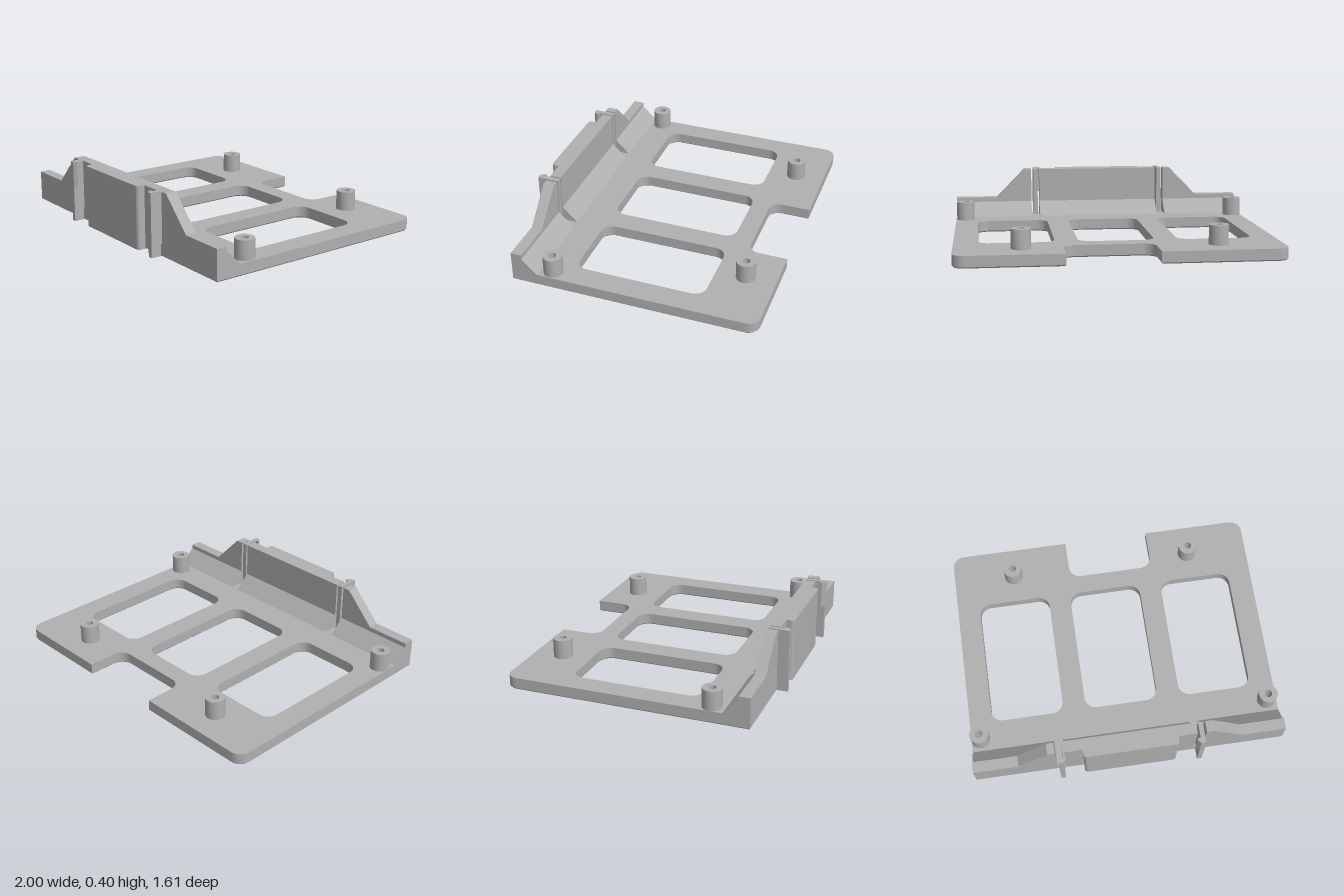
import * as THREE from 'three';
import { toCreasedNormals } from 'three/addons/utils/BufferGeometryUtils.js';

const PLATE_TOP = 0.075, BOSS_TOP = 0.197, WALL_TOP = 0.395;
const WALL_BACK = 0.67, WALL_FRONT = 0.74;
const SLOT_IN = 0.416, SLOT_OUT = 0.473;
const BOSSES = [[-0.6, -0.615], [0.595, -0.615], [-0.94, 0.495], [0.935, 0.495]];

// Closed outline from [x, y, cornerRadius] points, each corner rounded by its radius
function outline(points, Type = THREE.Shape) {
  const path = new Type();
  const v = points.map(([x, y]) => new THREE.Vector2(x, y));
  points.forEach(([, , r = 0], i) => {
    const p = v[i], n = v.length;
    const toward = (q) => q.clone().sub(p).setLength(r).add(p);
    const a = r ? toward(v[(i + n - 1) % n]) : p;
    if (i === 0) path.moveTo(a.x, a.y);
    else path.lineTo(a.x, a.y);
    if (r) {
      const b = toward(v[(i + 1) % n]), k = 0.5523;
      const c1 = a.clone().lerp(p, k), c2 = b.clone().lerp(p, k);
      path.bezierCurveTo(c1.x, c1.y, c2.x, c2.y, b.x, b.y);
    }
  });
  path.closePath();
  return path;
}

// Plan outlines are given as [x, z, radius]
const plan = (points, Type) => outline(points.map(([x, z, r]) => [x, -z, r]), Type);

const circle = (x, z, r, Type) => new Type().absarc(x, -z, r, 0, Math.PI * 2, false);

// Extrude a plan outline upward from y0 to y1
function raise(shape, y0, y1, bevel = 0) {
  const g = new THREE.ExtrudeGeometry(shape, {
    depth: y1 - y0 - 2 * bevel, curveSegments: 12, bevelEnabled: bevel > 0,
    bevelThickness: bevel, bevelSize: bevel, bevelOffset: -bevel, bevelSegments: 1,
  });
  g.rotateX(-Math.PI / 2).translate(0, y0 + bevel, 0);
  return toCreasedNormals(g, 0.6);
}

export function createModel() {
  const model = new THREE.Group();
  model.name = 'mountingBracket';
  const grey = new THREE.MeshStandardMaterial({ color: 0xb0b0b0 });
  grey.name = 'grey plastic';
  const add = (name, geometry) => {
    const mesh = new THREE.Mesh(geometry, grey);
    mesh.name = name;
    model.add(mesh);
  };

  // Base plate with rear notch, three windows and screw holes
  const R = 0.075;
  const plate = plan([
    [-1, WALL_FRONT], [1, WALL_FRONT], [1, -0.805, R], [0.34, -0.805],
    [0.34, -0.55, R], [-0.22, -0.55, R], [-0.22, -0.805], [-1, -0.805, R],
  ]);
  for (const [x0, x1] of [[-0.855, -0.385], [-0.24, 0.235], [0.38, 0.85]]) {
    plate.holes.push(plan([
      [x0, -0.43, R], [x1, -0.43, R], [x1, 0.39, R], [x0, 0.39, R],
    ], THREE.Path));
  }
  for (const [x, z] of BOSSES) plate.holes.push(circle(x, z, 0.024, THREE.Path));
  add('basePlate', raise(plate, 0.008, PLATE_TOP));
  add('plateBottomChamfer', raise(plate, 0, 0.016, 0.008));

  // Hollow screw bosses
  for (const [x, z] of BOSSES) {
    const ring = circle(x, z, 0.06, THREE.Shape);
    ring.holes.push(circle(x, z, 0.024, THREE.Path));
    add('screwBoss', raise(ring, PLATE_TOP - 0.01, BOSS_TOP));
  }

  // Upright front wall: centre panel and two sloping side panels
  const wall = (name, points) => {
    const g = new THREE.ExtrudeGeometry(outline(points), {
      depth: WALL_FRONT - WALL_BACK, bevelEnabled: false,
    });
    add(name, g.translate(0, 0, WALL_BACK));
  };
  const y0 = 0.06;
  wall('centreWall', [[-SLOT_IN, y0], [SLOT_IN, y0], [SLOT_IN, WALL_TOP], [-SLOT_IN, WALL_TOP]]);
  for (const s of [-1, 1]) {
    const side = [[SLOT_OUT, y0], [1, y0], [1, BOSS_TOP], [0.713, BOSS_TOP],
      [0.52, WALL_TOP], [SLOT_OUT, WALL_TOP]];
    wall('sideWall', side.map(([x, y]) => [s * x, y]));
  }

  // Sloped gussets joining the wall to the plate
  for (const [x0, x1] of [[-1, -SLOT_OUT], [-SLOT_IN, SLOT_IN], [SLOT_OUT, 1]]) {
    const wedge = outline([
      [-0.575, PLATE_TOP - 0.01], [-0.575, PLATE_TOP], [-WALL_BACK, 0.168],
      [-WALL_BACK - 0.02, 0.168], [-WALL_BACK - 0.02, PLATE_TOP - 0.01],
    ].reverse());
    const g = new THREE.ExtrudeGeometry(wedge, { depth: x1 - x0, bevelEnabled: false });
    add('gusset', g.rotateY(Math.PI / 2).translate(x0, 0, 0));
  }

  // Raised pad on the front of the wall
  add('frontPad', raise(plan([
    [-0.3, WALL_FRONT - 0.02], [-0.3, 0.79, 0.02], [0.295, 0.79, 0.02], [0.295, WALL_FRONT - 0.02],
  ]), 0, WALL_TOP));

  // Snap clips standing in the slots, hooked inward near the top
  for (const s of [-1, 1]) {
    const mirror = (points) => plan(points.map(([x, z]) => [s * x, z]));
    add('clipArm', raise(mirror([
      [0.428, WALL_BACK], [0.458, WALL_BACK], [0.458, 0.805], [0.428, 0.805],
    ]), 0, WALL_TOP));
    add('clipHook', raise(mirror([
      [0.44, 0.77], [0.44, 0.805], [0.428, 0.805], [0.41, 0.785], [0.41, 0.77],
    ]), 0.225, WALL_TOP));
  }
  return model;
}
